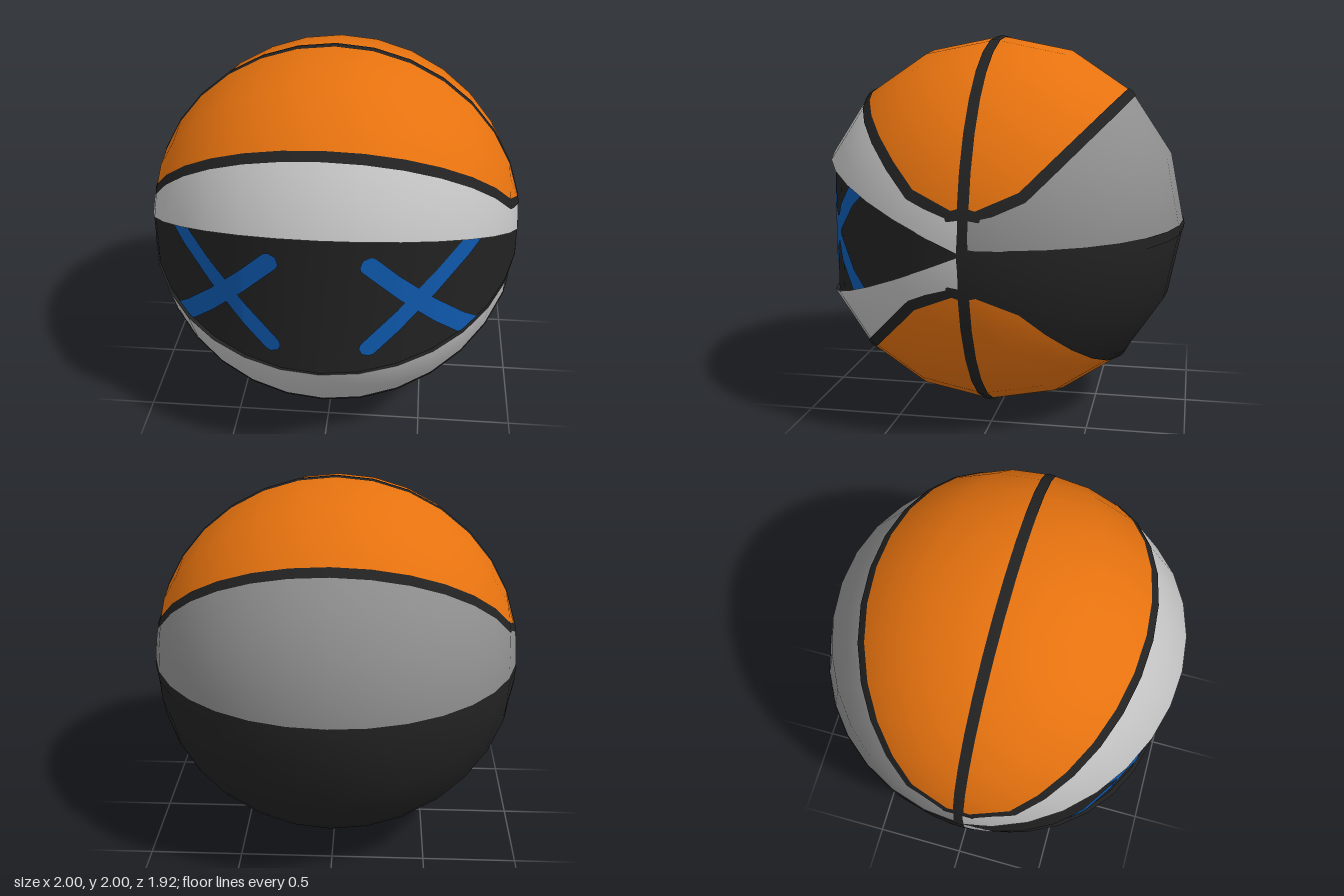
import * as THREE from 'three';

const R = 0.995, RINGS = 16, STEP = Math.PI / 8, DEG = Math.PI / 180;
const CENTER = new THREE.Vector3(0, 1, 0.035);

const paint = (name, color, side = THREE.FrontSide) => {
  const m = new THREE.MeshStandardMaterial({ color, side });
  m.name = name;
  return m;
};

// Point on the sixteen-sided ball: ring counts from the +x pole, deg turns from the front upwards
function ballPoint(ring, deg) {
  const phi = ring * Math.PI / RINGS, a = deg * DEG / STEP;
  const k = Math.floor(a + 1e-6), f = a - k;
  const mix = fn => fn(k * STEP) * (1 - f) + fn((k + 1) * STEP) * f;
  const r = R * Math.sin(phi);
  return new THREE.Vector3(R * Math.cos(phi), r * mix(Math.sin), r * mix(Math.cos));
}

// Surface through rows of points; faces are turned outwards
function loft(rows, radial = true) {
  const cols = rows[0].length, pts = rows.flat(), index = [];
  const add = (a, b, c) => {
    const ab = pts[b].clone().sub(pts[a]), ac = pts[c].clone().sub(pts[a]);
    const mid = pts[a].clone().add(pts[b]).add(pts[c]);
    const n = ab.cross(ac);
    if (n.length() < 1e-9) return;
    if (n.dot(mid) > 0) index.push(a, b, c); else index.push(a, c, b);
  };
  for (let i = 0; i < rows.length - 1; i++) {
    for (let j = 0; j < cols - 1; j++) {
      const a = i * cols + j, b = a + cols;
      add(a, b, a + 1);
      add(a + 1, b, b + 1);
    }
  }
  const geo = new THREE.BufferGeometry().setFromPoints(pts);
  geo.setIndex(index);
  if (radial) {
    geo.setAttribute('normal', new THREE.Float32BufferAttribute(
      pts.flatMap(p => p.clone().normalize().toArray()), 3));
  } else geo.computeVertexNormals();
  return geo;
}

// Curve of the slanted seams as [ring, angle from horizontal], bending inwards at both poles
const slant = [[1, 90], [1, 70]];
for (let i = 2; i <= RINGS - 2; i++) slant.push([i, 45]);
slant.push([RINGS - 1, 70], [RINGS - 1, 90]);
const wholeSlant = [[0, 90], ...slant, [RINGS, 90]];

// Colour panel between two angles that may vary along the rows
function panel(rows, from, to, turn) {
  return loft(rows.map(([ring, h]) => [0, 0.25, 0.5, 0.75, 1].map(f =>
    ballPoint(ring, turn(from(h) * (1 - f) + to(h) * f)))));
}

// Raised ribbon following a list of [ring, deg]
function seam(path) {
  const half = 0.0275, pts = path.map(([ring, deg]) => ballPoint(ring, deg));
  return loft(pts.map((p, i) => {
    const t = pts[Math.min(i + 1, pts.length - 1)].clone().sub(pts[Math.max(i - 1, 0)]);
    const n = p.clone().normalize();
    const side = n.clone().cross(t).normalize();
    return [-1, 0, 1].map(s => p.clone().addScaledVector(side, s * half)
      .addScaledVector(n, s ? -0.001 : 0.004));
  }));
}

// Recessed front panel: depth at a ring, and interpolated by x
const mouthDepth = ring => {
  const phi = ring * Math.PI / RINGS, r = Math.sin(phi);
  const inset = (0.013 + 0.02 * Math.sin(2 * phi) ** 2) * Math.min(1, 3 * r);
  return Math.max(0, ballPoint(ring, 22.5).z - inset);
};
function mouthAt(x) {
  const ring = Math.acos(THREE.MathUtils.clamp(x / R, -1, 1)) * RINGS / Math.PI;
  const k = Math.min(RINGS - 1, Math.floor(ring));
  const a = ballPoint(k, 22.5), b = ballPoint(k + 1, 22.5);
  const f = (x - a.x) / (b.x - a.x);
  return {
    z: THREE.MathUtils.lerp(mouthDepth(k), mouthDepth(k + 1), f),
    half: THREE.MathUtils.lerp(a.y, b.y, f),
  };
}

// One bar of a cross, rounded at the inner end and trimmed by the edge of the recess
function crossBar(sx, sy) {
  const w = 0.046, inner = -0.375, outer = 0.42;
  const geo = new THREE.PlaneGeometry(1, 2, 48, 6);
  const pos = geo.attributes.position;
  for (let i = 0; i < pos.count; i++) {
    const t = inner + (pos.getX(i) + 0.5) * (outer - inner);
    const d = Math.max(0, inner + w - t) / w;
    const v = pos.getY(i) * w * Math.sqrt(Math.max(0, 1 - d * d));
    const x = 0.47 + (t - v * sy) * Math.SQRT1_2;
    const y = (t * sy + v) * Math.SQRT1_2;
    const m = mouthAt(x), lim = m.half - 0.003;
    pos.setXYZ(i, sx * x, THREE.MathUtils.clamp(y, -lim, lim), m.z + 0.006);
  }
  geo.computeVertexNormals();
  return geo;
}

export function createModel() {
  const orange = paint('orange', 0xe6720f);
  const white = paint('light grey', 0xc2c2c2);
  const grey = paint('mid grey', 0x8e8e8e);
  const dark = paint('charcoal', 0x222222, THREE.DoubleSide);
  const blue = paint('blue', 0x0f59ae, THREE.DoubleSide);

  const model = new THREE.Group();
  model.name = 'ball';
  const add = (name, geo, mat) => {
    const mesh = new THREE.Mesh(geo, mat);
    mesh.name = name;
    mesh.position.copy(CENTER);
    model.add(mesh);
  };

  // Four quarters, each with an orange panel, a side panel and a slanted seam
  const quarters = [
    ['UpperFront', h => h, 22.5, white],
    ['LowerFront', h => -h, 22.5, white],
    ['UpperBack', h => 180 - h, 0, grey],
    ['LowerBack', h => 180 + h, 0, dark],
  ];
  for (const [name, turn, inner, mat] of quarters) {
    add('orangePanel' + name, panel(slant.slice(1, -1), h => h, () => 90, turn), orange);
    add('sidePanel' + name, panel(wholeSlant, () => inner, h => h, turn), mat);
    add('seam' + name, seam(slant.map(([r, h]) => [r, turn(h)])), dark);
  }

  // Straight seams over the top, under the bottom and across the back
  const rings = Array.from({ length: RINGS + 1 }, (_, i) => i);
  for (const [name, deg] of [['topSeam', 90], ['bottomSeam', -90], ['backSeam', 180]]) {
    add(name, seam(rings.map(r => [r, deg])), dark);
  }

  // Recessed front panel and its narrow rims
  const edge = (r, s) => {
    const p = ballPoint(r, 22.5);
    return new THREE.Vector3(p.x, s * p.y, mouthDepth(r));
  };
  add('frontRecess', loft(rings.map(r => [edge(r, -1), edge(r, 1)]), false), dark);
  for (const s of [-1, 1]) {
    add(s > 0 ? 'upperRim' : 'lowerRim',
      loft(rings.map(r => [edge(r, s), ballPoint(r, 22.5 * s)]), false), dark);
  }

  // Blue crosses
  for (const sx of [-1, 1]) {
    for (const sy of [-1, 1]) add(sx > 0 ? 'leftCross' : 'rightCross', crossBar(sx, sy), blue);
  }
  return model;
}
